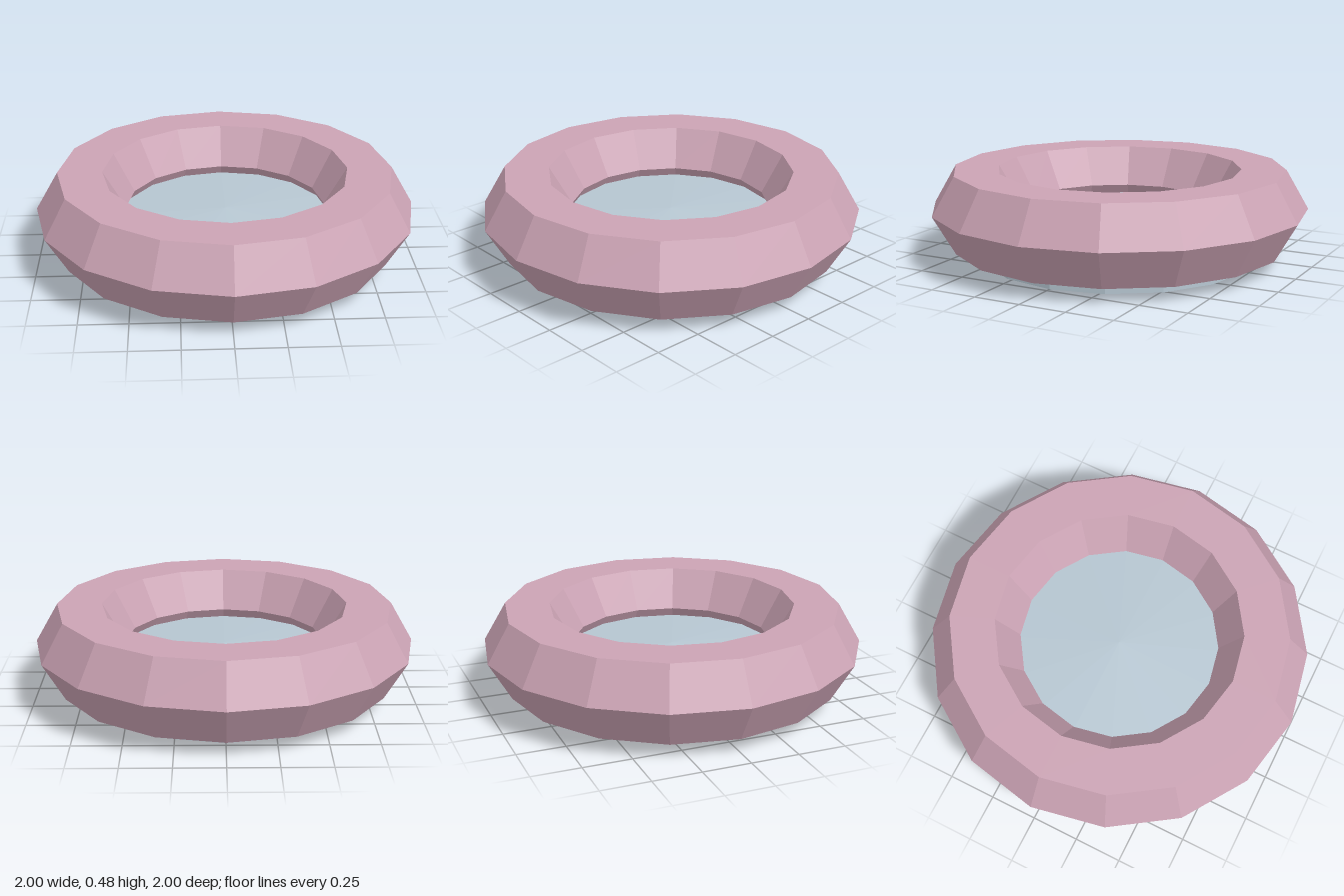
import * as THREE from 'three';

const SIDES = 16;

export function createModel() {
  const pink = new THREE.MeshStandardMaterial({ name: 'dusty pink', color: 0xcba3b4, flatShading: true });
  const blue = new THREE.MeshStandardMaterial({ name: 'pale blue grey', color: 0xb7c7d2, flatShading: true });
  const model = new THREE.Group();
  model.name = 'ringFloat';

  // Inflated ring with a hexagonal section
  const ring = new THREE.Mesh(new THREE.TorusGeometry(0.764, 0.236, 6, SIDES).rotateX(-Math.PI / 2), pink);
  ring.name = 'ring';
  ring.position.y = 0.277;
  model.add(ring);

  // Floor disc: flat base, straight wall, very slightly raised centre
  const profile = [[0, 0], [0.725, 0], [0.725, 0.217], [0, 0.262]].map(([r, y]) => new THREE.Vector2(r, y));
  const floor = new THREE.Mesh(new THREE.LatheGeometry(profile, SIDES), blue);
  floor.name = 'floor';
  model.add(floor);

  return model;
}
